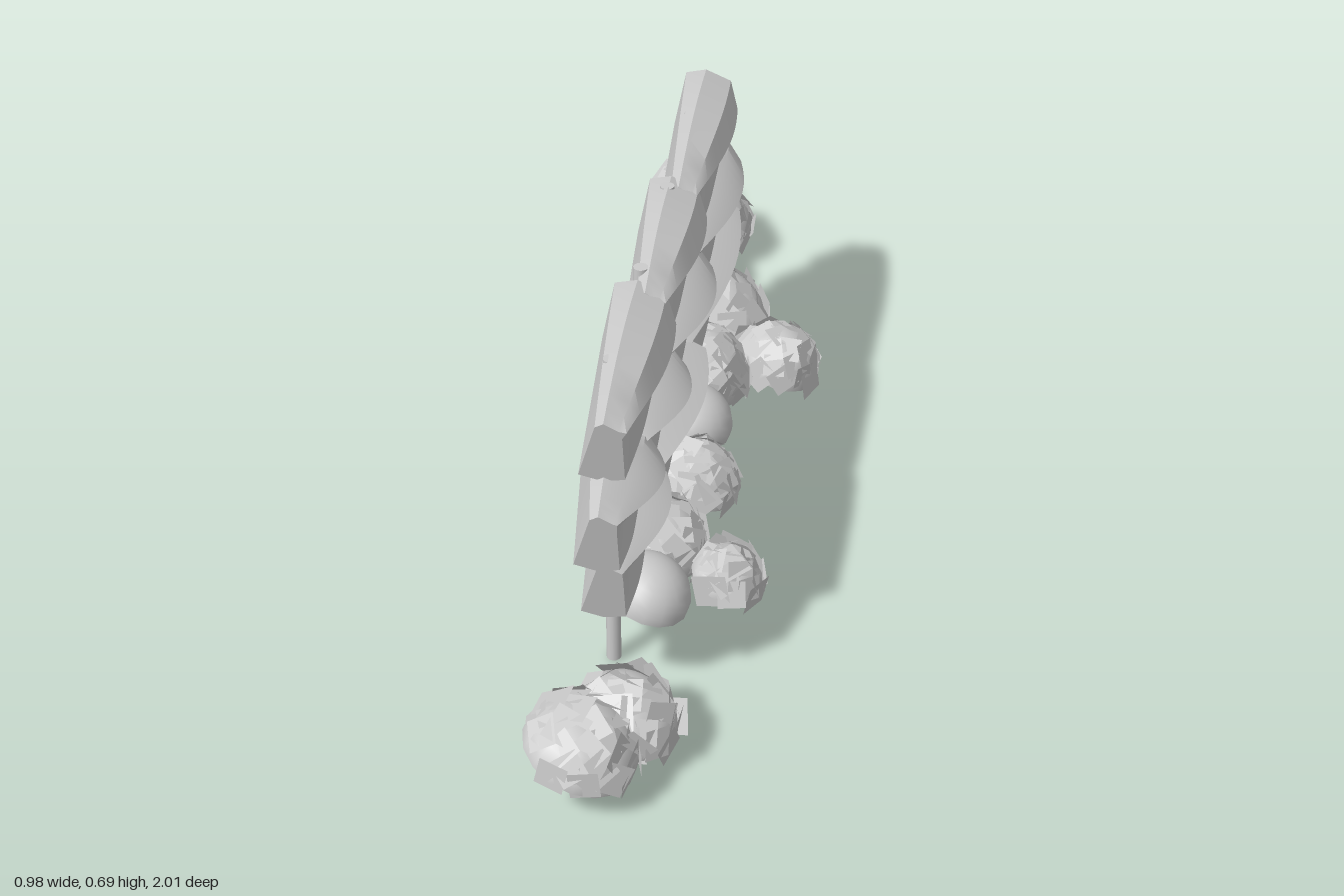
import * as THREE from 'three';
import { toCreasedNormals, mergeGeometries } from 'three/addons/utils/BufferGeometryUtils.js';

const material = new THREE.MeshStandardMaterial({ color: 0xcccccc, side: THREE.DoubleSide });

let seed = 7;
function random(min = 0, max = 1) {
  seed = (seed * 16807) % 2147483647;
  return min + (max - min) * (seed / 2147483647);
}

function addMesh(parent, name, geometry) {
  const mesh = new THREE.Mesh(geometry, material);
  mesh.name = name;
  parent.add(mesh);
  return mesh;
}

// Rough block: flat back set askew like a shingle, wavy crest, and a ledge
// that juts out of the front and dips along its length
function stoneGeometry(x0, x1, startLean, dip, reach) {
  const steps = 12, positions = [], indices = [];
  const wobble = random(-0.006, 0.006);
  let count = 0;
  for (let s = 0; s <= steps; s++) {
    const u = s / steps;
    const arch = Math.sin(Math.PI * u);
    const jut = Math.sin(Math.PI * 0.83 * Math.pow(u, 1.1));
    const profile = [
      [-0.03 - 0.036 * u, 0.005],
      [0.005 - 0.047 * u, 0.127 + 0.012 * arch],
      [0.02 - 0.02 * u, 0.137 + 0.02 * arch],
      [0.045 + 0.015 * jut, 0.122 + 0.016 * arch - 0.1 * dip * u],
      [0.055 + reach * jut + wobble, 0.12 - dip * u],
      [0.05 + 0.015 * jut, 0.105 - dip * u],
      [0.05 - 0.02 * u + 0.015 * arch, 0.003],
      [0.01 - 0.02 * u, -0.006],
    ];
    count = profile.length;
    for (const [z, y] of profile) {
      positions.push(x0 + (x1 - x0) * u - startLean * (1 - u) * (y / 0.15), y, z);
    }
  }
  for (let s = 0; s < steps; s++) {
    for (let i = 0; i < count; i++) {
      const a = s * count + i, b = s * count + (i + 1) % count;
      indices.push(a, b, a + count, b, b + count, a + count);
    }
  }
  // End caps
  const last = steps * count;
  for (let i = 1; i < count - 1; i++) {
    indices.push(0, i + 1, i, last, last + i, last + i + 1);
  }
  const geometry = new THREE.BufferGeometry();
  geometry.setAttribute('position', new THREE.Float32BufferAttribute(positions, 3));
  geometry.setIndex(indices);
  return toCreasedNormals(geometry, 0.5);
}

// Three courses of stone with staggered joints, carried on four posts
function createWall() {
  const wall = new THREE.Group();
  wall.name = 'wall';
  for (const x of [-0.444, -0.148, 0.148, 0.444]) {
    const post = addMesh(wall, 'post', new THREE.CylinderGeometry(0.014, 0.014, 0.67, 12));
    post.position.set(x, 0.345, 0);
  }
  // height, joints along the wall, ledge dip, ledge reach
  const courses = [
    [0.235, [-0.59, -0.3, 0.11, 0.655], 0.015, 0.05],
    [0.385, [-0.645, -0.4, -0.13, 0.22, 0.655], 0.045, 0.05],
    [0.535, [-0.59, -0.18, 0.2, 0.655], 0.07, 0.025],
  ];
  for (const [y, joints, dip, reach] of courses) {
    const course = new THREE.Group();
    course.name = 'stoneCourse';
    course.position.y = y;
    for (let i = 0; i < joints.length - 1; i++) {
      // Each stone after the first starts inside its neighbour
      const start = joints[i] - (i === 0 ? 0 : 0.04);
      addMesh(course, 'stone', stoneGeometry(start, joints[i + 1], i === 0 ? 0.035 : 0, dip, reach));
    }
    wall.add(course);
  }
  wall.position.set(-0.045, 0, 0.19);
  wall.rotation.y = 1.108;
  return wall;
}

// Square leaves over a dome, leaving the low part of its back bare
const forward = new THREE.Vector3(0.895, 0, 0.446);

function leavesGeometry(radius, height, count) {
  const cards = [];
  const pose = new THREE.Object3D();
  for (let i = 0; i < count; i++) {
    const angle = i * 2.39996;
    const up = 0.12 + 0.86 * (i + 0.5) / count;
    const ring = Math.sqrt(1 - up * up);
    const size = random(0.045, 0.068);
    pose.position.set(ring * Math.cos(angle) * radius, up * height, ring * Math.sin(angle) * radius);
    if (up < 0.4 && pose.position.dot(forward) < -0.4 * radius) continue;
    pose.lookAt(pose.position.clone().multiplyScalar(2));
    pose.rotateX(random(-0.25, 0.25));
    pose.rotateY(random(-0.25, 0.25));
    pose.rotateZ(random(0, 3));
    pose.updateMatrix();
    cards.push(new THREE.PlaneGeometry(size, size).applyMatrix4(pose.matrix));
  }
  return mergeGeometries(cards);
}

// Hollow dome, tipped so its rim is low in front of the wall and high behind
const tipAxis = new THREE.Vector3(0.446, 0, -0.895).normalize();

function createBush([x, z, radius, base, top, leaves]) {
  const bush = new THREE.Group();
  bush.name = 'bush';
  const height = top - base;
  const dome = new THREE.SphereGeometry(radius, 16, 8, 0, Math.PI * 2, 0, Math.PI / 2);
  dome.scale(1, height / radius, 1);
  addMesh(bush, 'dome', dome);
  if (leaves) addMesh(bush, 'leaves', leavesGeometry(radius, height, leaves));
  bush.position.set(x, base, z);
  bush.quaternion.setFromAxisAngle(tipAxis, 0.36);
  return bush;
}

export function createModel() {
  const model = new THREE.Group();
  model.name = 'stoneWallWithBushes';
  model.add(createWall());

  // x, z, radius, base, top, number of leaves
  const bushes = [
    [-0.39, 0.885, 0.105, 0.09, 0.175, 36],
    [-0.29, 0.825, 0.095, 0.08, 0.155, 32],
    [-0.16, 0.52, 0.085, 0.085, 0.165, 0],
    [-0.1, 0.38, 0.1, 0.085, 0.175, 36],
    [0.0, 0.51, 0.07, 0.075, 0.135, 24],
    [0.03, 0.22, 0.085, 0.085, 0.17, 32],
    [0.09, 0.02, 0.085, 0.085, 0.165, 0],
    [0.15, -0.13, 0.105, 0.09, 0.2, 38],
    [0.33, -0.14, 0.09, 0.075, 0.165, 32],
    [0.26, -0.37, 0.125, 0.07, 0.175, 40],
    [0.285, -0.57, 0.087, 0.085, 0.165, 0],
    [0.36, -0.73, 0.115, 0.09, 0.18, 40],
    [0.37, -0.91, 0.085, 0.055, 0.135, 28],
  ];
  const hedge = new THREE.Group();
  hedge.name = 'hedge';
  bushes.forEach((bush) => hedge.add(createBush(bush)));
  model.add(hedge);
  return model;
}
